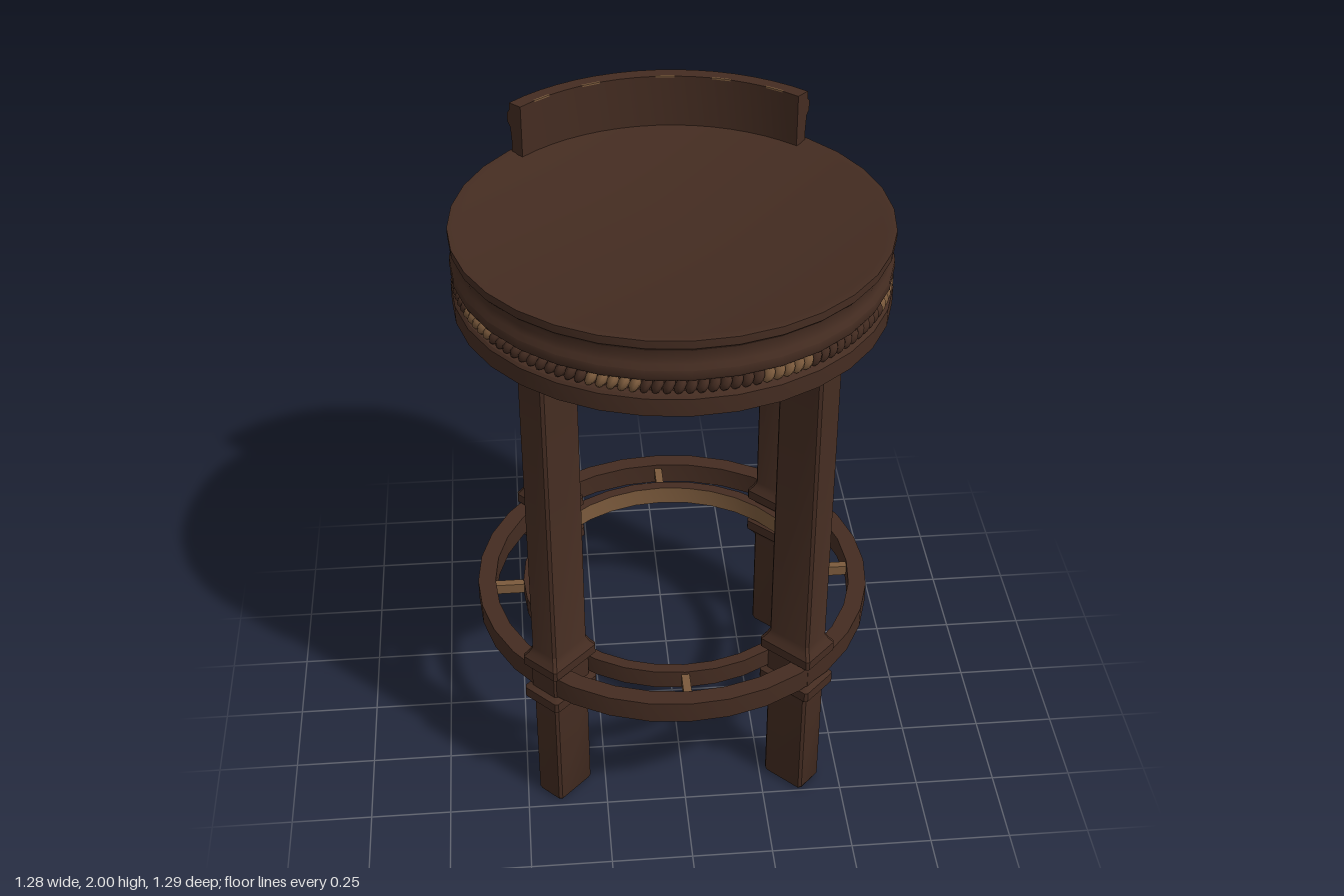
import * as THREE from 'three';
import { mergeGeometries, toCreasedNormals } from 'three/addons/utils/BufferGeometryUtils.js';

const SIDES = 32;

function material(name, color, side = THREE.FrontSide) {
  const m = new THREE.MeshStandardMaterial({ color, side });
  m.name = name;
  return m;
}

function part(name, geometry, mat) {
  const mesh = new THREE.Mesh(geometry, mat);
  mesh.name = name;
  return mesh;
}

// Turned surface from [radius, y] pairs
function turned(points, segments = SIDES, start = 0, length = Math.PI * 2) {
  const profile = points.map(([r, y]) => new THREE.Vector2(r, y));
  return toCreasedNormals(new THREE.LatheGeometry(profile, segments, start, length), 0.55);
}

// Chamfered rectangular post; each level is [y, outward swelling]
function post(halfX, halfZ, chamfer, levels) {
  const pos = [], index = [];
  for (const [y, swell] of levels) {
    const x = halfX + swell, z = halfZ + swell, a = x - chamfer, b = z - chamfer;
    for (const [px, pz] of [[x, b], [x, -b], [a, -z], [-a, -z], [-x, -b], [-x, b], [-a, z], [a, z]]) pos.push(px, y, pz);
  }
  for (let i = 0; i < levels.length - 1; i++) {
    for (let j = 0; j < 8; j++) {
      const a = i * 8 + j, b = i * 8 + (j + 1) % 8;
      index.push(a, b, b + 8, a, b + 8, a + 8);
    }
  }
  for (let j = 1; j < 7; j++) index.push(0, j + 1, j);
  const g = new THREE.BufferGeometry();
  g.setAttribute('position', new THREE.Float32BufferAttribute(pos, 3));
  g.setIndex(index);
  return toCreasedNormals(g, 0.5);
}

export function createModel() {
  const model = new THREE.Group();
  model.name = 'roundStool';
  const wood = material('darkWood', 0x442c21, THREE.DoubleSide);
  const worn = material('wornWood', 0x7b5a3c);
  const under = material('undersideWood', 0x66503a);

  // Seat: plain base band, rope groove, hollow moulding, lip, slightly sunk top
  model.add(part('seat', turned([
    [0.57, 1.6], [0.642, 1.6], [0.642, 1.655], [0.635, 1.663], [0.618, 1.668], [0.618, 1.708],
    [0.638, 1.713], [0.642, 1.722], [0.641, 1.745], [0.631, 1.76], [0.626, 1.78], [0.63, 1.802],
    [0.642, 1.815], [0.642, 1.84], [0.622, 1.84], [0.606, 1.835], [0, 1.835],
  ]), wood));

  // Hollow underside with a stepped recess
  model.add(part('undersidePanel', turned([[0, 1.757], [0.45, 1.757]]), under));
  model.add(part('undersideStep', turned([[0.45, 1.757], [0.45, 1.73]]), worn));
  model.add(part('undersideLedge', turned([[0.45, 1.73], [0.57, 1.73]]), under));
  model.add(part('undersideWall', turned([[0.57, 1.73], [0.57, 1.635]]), worn));
  model.add(part('undersideWallEdge', turned([[0.57, 1.635], [0.57, 1.6]]), wood));

  // Rope moulding of slanted beads, rubbed pale in short stretches
  const darkBeads = [], paleBeads = [];
  const count = 128;
  for (let i = 0; i < count; i++) {
    const angle = (i / count) * Math.PI * 2;
    const bead = new THREE.SphereGeometry(1, 8, 6);
    bead.scale(0.015, 0.026, 0.021);
    bead.rotateZ(-0.45);
    bead.translate(0, 1.687, 0.62);
    bead.rotateY(angle);
    (Math.cos(8 * (angle - 0.436)) > 0.65 ? paleBeads : darkBeads).push(bead);
  }
  model.add(part('ropeMoulding', mergeGeometries(darkBeads), wood));
  model.add(part('rubbedRopeMoulding', mergeGeometries(paleBeads), worn));

  // Low curved backrest, closed at both ends
  const back = [
    [0.588, 1.83], [0.632, 1.83], [0.63, 1.87], [0.634, 1.92], [0.645, 1.935],
    [0.645, 1.965], [0.636, 1.975], [0.634, 2.0], [0.588, 2.0],
  ];
  const span = Math.PI / 2;
  const start = Math.PI - span / 2;
  const backrest = new THREE.Group();
  backrest.name = 'backrest';
  backrest.add(part('backrestRail', turned([...back, back[0]], 16, start, span), wood));
  for (const angle of [start, start + span]) {
    const end = new THREE.ShapeGeometry(new THREE.Shape(back.map(([r, y]) => new THREE.Vector2(r, y))));
    end.rotateY(angle - Math.PI / 2);
    backrest.add(part('backrestEnd', end, wood));
  }
  // Rubbed slivers along the top inner edge
  for (const step of [1, 4, 7, 11, 14]) {
    const sliver = turned([[0.593, 2.001], [0.587, 2.001], [0.587, 1.996]], 1, start + (step * span) / 16, span / 16);
    backrest.add(part('rubbedBackrestEdge', sliver, worn));
  }
  model.add(backrest);

  // Four legs with collars above and below the footrest
  const legShape = post(0.074, 0.049, 0.008, [
    [0, -0.005], [0.012, 0], [0.385, 0], [0.398, 0.008], [0.412, 0.02], [0.446, 0.02], [0.456, 0.004],
    [0.534, 0.004], [0.544, 0.02], [0.575, 0.02], [0.592, 0.008], [0.61, 0], [1.64, 0], [1.66, -0.02], [1.73, -0.02],
  ]);
  for (const [name, x, z] of [
    ['frontLeftLeg', 0.352, 0.414], ['frontRightLeg', -0.38, 0.397],
    ['backLeftLeg', 0.4, -0.367], ['backRightLeg', -0.38, -0.38],
  ]) {
    const leg = part(name, legShape, wood);
    leg.position.set(x, 0, z);
    leg.rotation.y = Math.atan2(-Math.sign(z), Math.sign(x));
    model.add(leg);
  }

  // Footrest: two hoops joined by short spokes
  const footrest = new THREE.Group();
  footrest.name = 'footrest';
  footrest.add(part('outerHoop', turned([[0.572, 0.46], [0.628, 0.46], [0.628, 0.532], [0.572, 0.532], [0.572, 0.46]]), wood));
  footrest.add(part('innerHoop', turned([[0.446, 0.465], [0.482, 0.465], [0.482, 0.527], [0.446, 0.527]]), wood));
  footrest.add(part('innerHoopWornFace', turned([[0.446, 0.527], [0.446, 0.465]]), worn));
  for (let i = 0; i < 4; i++) {
    const spoke = new THREE.BoxGeometry(0.025, 0.035, 0.1);
    spoke.translate(0, 0.5, 0.527);
    spoke.rotateY((i * Math.PI) / 2);
    footrest.add(part('footrestSpoke', spoke, worn));
  }
  model.add(footrest);

  return model;
}
